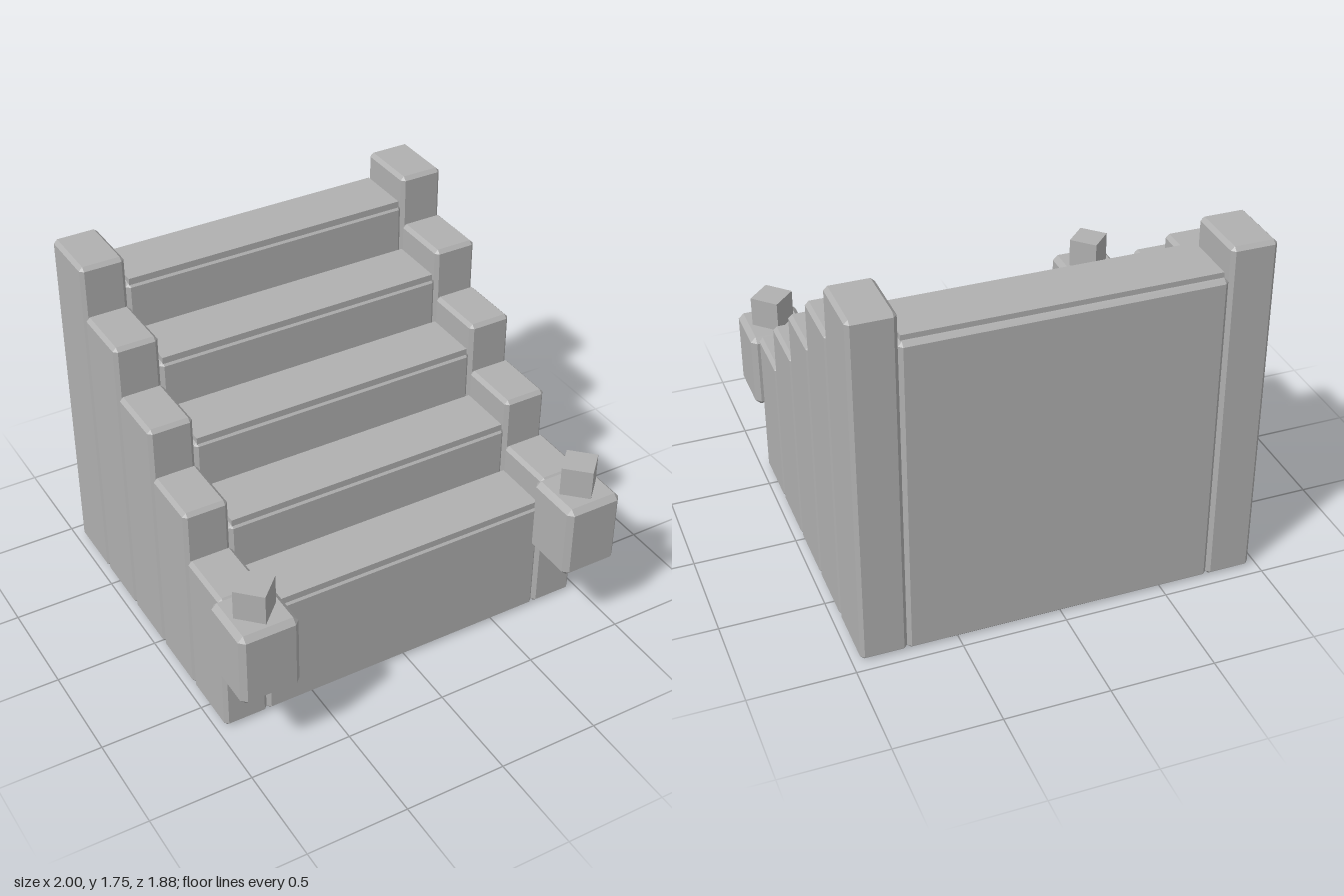
import * as THREE from 'three';
import { ConvexGeometry } from 'three/addons/geometries/ConvexGeometry.js';

const stone = new THREE.MeshStandardMaterial({ color: 0xb0b0b0 });
stone.name = 'grey stone';

// Box with every edge cut at 45 degrees: three inset rectangles per axis pair
function chamferBox(w, h, d, c) {
  const half = [w / 2, h / 2, d / 2];
  const points = [];
  for (const sx of [-1, 1]) for (const sy of [-1, 1]) for (const sz of [-1, 1]) {
    for (let axis = 0; axis < 3; axis++) {
      const p = half.map((v, i) => (i === axis ? v : v - c));
      points.push(new THREE.Vector3(p[0] * sx, p[1] * sy, p[2] * sz));
    }
  }
  return new ConvexGeometry(points);
}

function add(parent, name, geometry, x, y, z) {
  const mesh = new THREE.Mesh(geometry, stone);
  mesh.name = name;
  mesh.position.set(x, y, z);
  parent.add(mesh);
  return mesh;
}

export function createModel() {
  const model = new THREE.Group();
  model.name = 'staircase';

  const count = 5, depth = 0.3225, rise = 0.2475;
  const frontZ = 0.672;

  for (let i = 0; i < count; i++) {
    const z = frontZ - depth * (i + 0.5);
    const blockTop = 0.615 + rise * i;
    const postTop = 0.765 + rise * i;

    // Step block with a thin tread slab on top, set in from the back
    add(model, 'stepBlock', chamferBox(1.48, blockTop, depth, 0.018), 0, blockTop / 2, z);
    add(model, 'tread', new THREE.BoxGeometry(1.45, 0.04, depth - 0.04), 0, blockTop + 0.005, z + 0.01);

    // Side posts that climb with the steps
    for (const side of [-1, 1]) {
      const name = side > 0 ? 'leftPost' : 'rightPost';
      add(model, name, chamferBox(0.22, postTop, depth, 0.018), side * 0.85, postTop / 2, z);
    }
  }

  // Newel blocks at the front, each with a small cube turned 45 degrees
  for (const side of [-1, 1]) {
    const newel = new THREE.Group();
    newel.name = side > 0 ? 'leftNewel' : 'rightNewel';
    newel.position.set(side * 0.853, 0, 0.792);
    add(newel, 'newelBlock', chamferBox(0.294, 0.39, 0.296, 0.026), 0, 0.57, 0);
    const cube = add(newel, 'finial', new THREE.BoxGeometry(0.148, 0.155, 0.148), 0, 0.8375, 0);
    cube.rotation.y = Math.PI / 4;
    model.add(newel);
  }

  return model;
}
